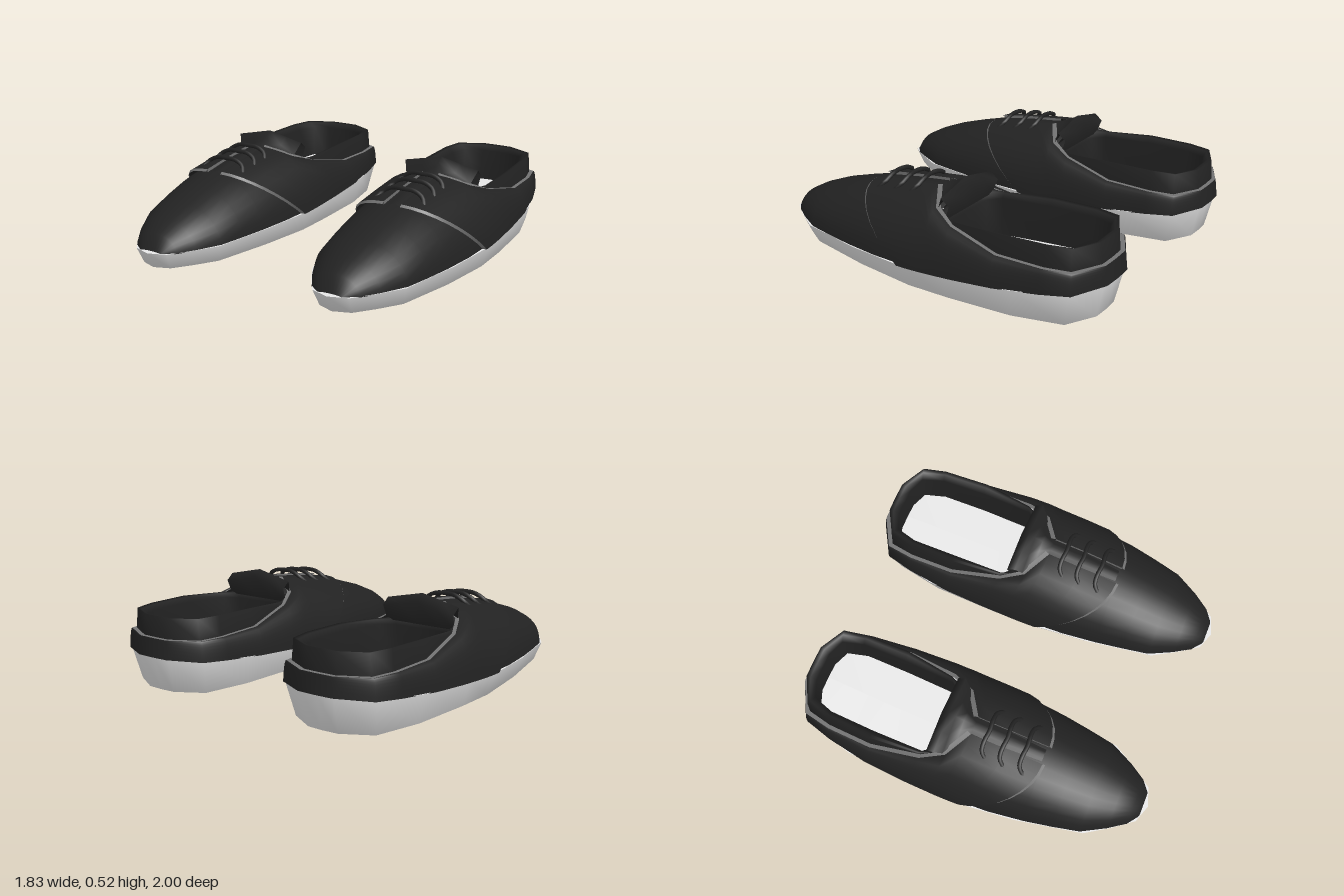
import * as THREE from 'three';

const mat = (name, color) => {
  const m = new THREE.MeshStandardMaterial({ color, side: THREE.DoubleSide });
  m.name = name;
  return m;
};

// Joins rows of [x, y, z] points into a smooth sheet
function sheet(rows, closed = false) {
  const n = rows[0].length, pos = rows.flat(2), idx = [];
  for (let r = 0; r < rows.length - 1; r++) {
    for (let c = 0; c < (closed ? n : n - 1); c++) {
      const a = r * n + c, b = r * n + (c + 1) % n;
      idx.push(a, b, a + n, b, b + n, a + n);
    }
  }
  const g = new THREE.BufferGeometry();
  g.setAttribute('position', new THREE.Float32BufferAttribute(pos, 3));
  g.setIndex(idx);
  g.computeVertexNormals();
  return g;
}

const flip = ([x, y, z]) => [-x, y, z];
const lerp = (a, b, t) => a + (b - a) * t;
const mix = (p, q, t) => p.map((v, i) => lerp(v, q[i], t));
// Half loop whose ends lie on the centre line -> full closed loop
const loop = half => [...half, ...half.slice(1, -1).reverse().map(flip)];
// Half strip ending on the heel centre line -> full strip
const strip = half => [...half, ...half.slice(0, -1).reverse().map(flip)];

const soleTop = z => z > 0.04 ? 0.125 : lerp(0.125, 0.195, Math.pow((0.04 - z) / 1.04, 1.3));
const soleBottom = z => Math.max(0, z * 0.03);

// Half outline of the sole, toe to heel: [x, z]
const OUTLINE = [[0, 0.995], [0.1, 0.96], [0.18, 0.85], [0.26, 0.72], [0.325, 0.35], [0.358, 0],
  [0.356, -0.25], [0.335, -0.62], [0.27, -0.89], [0.1, -0.98], [0, -0.985]];

// Quarter panel, front to heel: [top point, bottom x and z]
const QUARTER = [
  [[0.05, 0.412, 0.4], [0.358, 0.04]],
  [[0.05, 0.44, 0.2], [0.36, -0.03]],
  [[0.05, 0.462, 0.0], [0.36, -0.1]],
  [[0.19, 0.405, -0.09], [0.358, -0.2]],
  [[0.25, 0.36, -0.22], [0.356, -0.3]],
  [[0.288, 0.297, -0.5], [0.345, -0.52]],
  [[0.28, 0.29, -0.75], [0.31, -0.75]],
  [[0.255, 0.29, -0.895], [0.272, -0.9]],
  [[0.095, 0.29, -0.982], [0.1, -0.995]],
  [[0, 0.29, -0.985], [0, -1]]
];

// Collar, front to heel: [outer point, hole x and z, top y]
const COLLAR = [
  [[0, 0.4, -0.1], [0, -0.155], 0.37],
  [[0.18, 0.39, -0.11], [0.15, -0.158], 0.37],
  [[0.23, 0.35, -0.23], [0.205, -0.22], 0.375],
  [[0.268, 0.29, -0.5], [0.21, -0.5], 0.395],
  [[0.26, 0.285, -0.75], [0.205, -0.75], 0.4],
  [[0.235, 0.285, -0.88], [0.17, -0.865], 0.4],
  [[0.09, 0.285, -0.96], [0.08, -0.9], 0.4],
  [[0, 0.285, -0.963], [0, -0.9], 0.4]
];

function quarterPoint([top, [bx, bz]], t) {
  const a = t * Math.PI / 2, by = soleTop(bz) - 0.004;
  return [lerp(top[0], bx, Math.cos(a)), lerp(by, top[1], Math.sin(a)), lerp(bz, top[2], Math.sin(a))];
}

function buildShoe(side, M) {
  const shoe = new THREE.Group();
  const add = (name, geo, material) => {
    // Bend the toe and heel slightly inward
    const p = geo.attributes.position;
    for (let i = 0; i < p.count; i++) p.setX(i, p.getX(i) - side * 0.02 * p.getZ(i) ** 2);
    const mesh = new THREE.Mesh(geo, material);
    mesh.name = name;
    shoe.add(mesh);
  };
  const steps = n => Array.from({ length: n + 1 }, (_, i) => i / n);

  // Sole: underside, tapered side wall and insole
  const soleRing = (sx, sz, y) => loop(OUTLINE.map(([x, z]) => [x * sx, y(z), z * sz]));
  add('sole', sheet([
    soleRing(0, 0.6, soleBottom), soleRing(0.72, 0.86, soleBottom),
    soleRing(0.88, 0.957, z => soleBottom(z) + 0.006), soleRing(1, 1, soleTop)
  ], true), M.sole);
  add('insole', sheet([soleRing(1, 1, soleTop), soleRing(0, 0.9, soleTop)], true), M.sole);

  // Vamp: half-elliptical sections [z, half width, top height]
  const vamp = [[0.968, 0.07, 0.13], [0.92, 0.13, 0.21], [0.83, 0.19, 0.26], [0.7, 0.258, 0.312],
    [0.55, 0.287, 0.358], [0.4, 0.312, 0.398], [0.2, 0.335, 0.43], [0, 0.342, 0.45], [-0.1, 0.33, 0.42]];
  add('vamp', sheet(vamp.map(([z, w, h]) => steps(16).map(t => {
    const a = (t - 0.5) * Math.PI, b = soleTop(z) - 0.004;
    return [w * Math.sin(a), b + (h - b) * Math.cos(a), z];
  }))), M.upper);

  // Quarter panels wrapped around the heel
  add('quarter', sheet(steps(8).map(t => strip(QUARTER.map(q => quarterPoint(q, t))))), M.upper);

  // Pale cut edges of the quarter: ledge around the collar, lace opening, front seam
  const ledge = QUARTER.slice(2).map(q => q[0]);
  const inner = ledge.map(([x, y, z], i) =>
    i < 2 ? [x - 0.008, y + 0.004, z - 0.024] : [x * 0.915, y, z < -0.85 ? z + 0.022 : z]);
  add('ledgeEdge', sheet([strip(ledge), strip(inner)]), M.edge);
  for (const s of [1, -1]) {
    const mirror = p => s > 0 ? p : flip(p);
    const lace = QUARTER.slice(0, 3).map(q => q[0]);
    add('laceOpeningEdge', sheet([lace.map(mirror), lace.map(([x, y, z]) => mirror([x, y - 0.025, z]))]), M.edge);
    const seam = steps(8).map(t => quarterPoint(QUARTER[0], t));
    add('frontSeamEdge', sheet([seam.map(mirror),
      seam.map(([x, y, z]) => mirror([x * 0.965, 0.12 + (y - 0.12) * 0.965, z + 0.014]))]), M.edge);
  }

  // Padded collar and inner lining
  const collarRing = f => loop(COLLAR.map(f));
  add('collar', sheet([
    collarRing(([o]) => o),
    collarRing(([o, [x, z], y]) => mix([o[0], y, o[2]], [x, y, z], 0.15)),
    collarRing(([o, [x, z], y]) => mix([o[0], y, o[2]], [x, y - 0.01, z], 0.5)),
    collarRing(([, [x, z], y]) => [x, y - 0.03, z]),
    collarRing(([, [x, z]]) => [x * 1.01, 0.12, z])
  ], true), M.upper);

  // Tongue with a thick flared top: [z, half width, centre height, edge height]
  const tongue = [[0.39, 0.04, 0.405, 0.395], [0.2, 0.048, 0.437, 0.425], [0, 0.045, 0.462, 0.45],
    [-0.06, 0.1, 0.48, 0.435], [-0.105, 0.19, 0.5, 0.41], [-0.14, 0.215, 0.522, 0.475],
    [-0.185, 0.213, 0.482, 0.44], [-0.156, 0.205, 0.36, 0.36]];
  add('tongue', sheet(tongue.map(([z, w, c, e]) =>
    [-1, -0.5, 0, 0.5, 1].map(t => [w * t, lerp(c, e, Math.abs(t)), z]))), M.upper);

  // Three raised lace rows
  [[0.08, 0.45], [0.18, 0.44], [0.29, 0.425]].forEach(([z, y]) => {
    const pts = [[-0.14, y - 0.035, z + 0.04], [-0.11, y + 0.005, z + 0.005], [-0.06, y + 0.03, z],
      [0, y + 0.034, z + 0.006], [0.06, y + 0.03, z], [0.11, y + 0.005, z + 0.005], [0.14, y - 0.035, z + 0.04]];
    const curve = new THREE.CatmullRomCurve3(pts.map(p => new THREE.Vector3(...p)));
    add('lace', new THREE.TubeGeometry(curve, 16, 0.012, 6), M.upper);
  });

  shoe.position.x = side * 0.555;
  return shoe;
}

export function createModel() {
  const M = {
    upper: mat('black leather', 0x222222),
    sole: mat('off-white rubber', 0xe6e6e6),
    edge: mat('grey trim', 0x727272)
  };
  const model = new THREE.Group();
  for (const side of [1, -1]) {
    const shoe = buildShoe(side, M);
    shoe.name = side > 0 ? 'leftShoe' : 'rightShoe';
    model.add(shoe);
  }
  return model;
}
